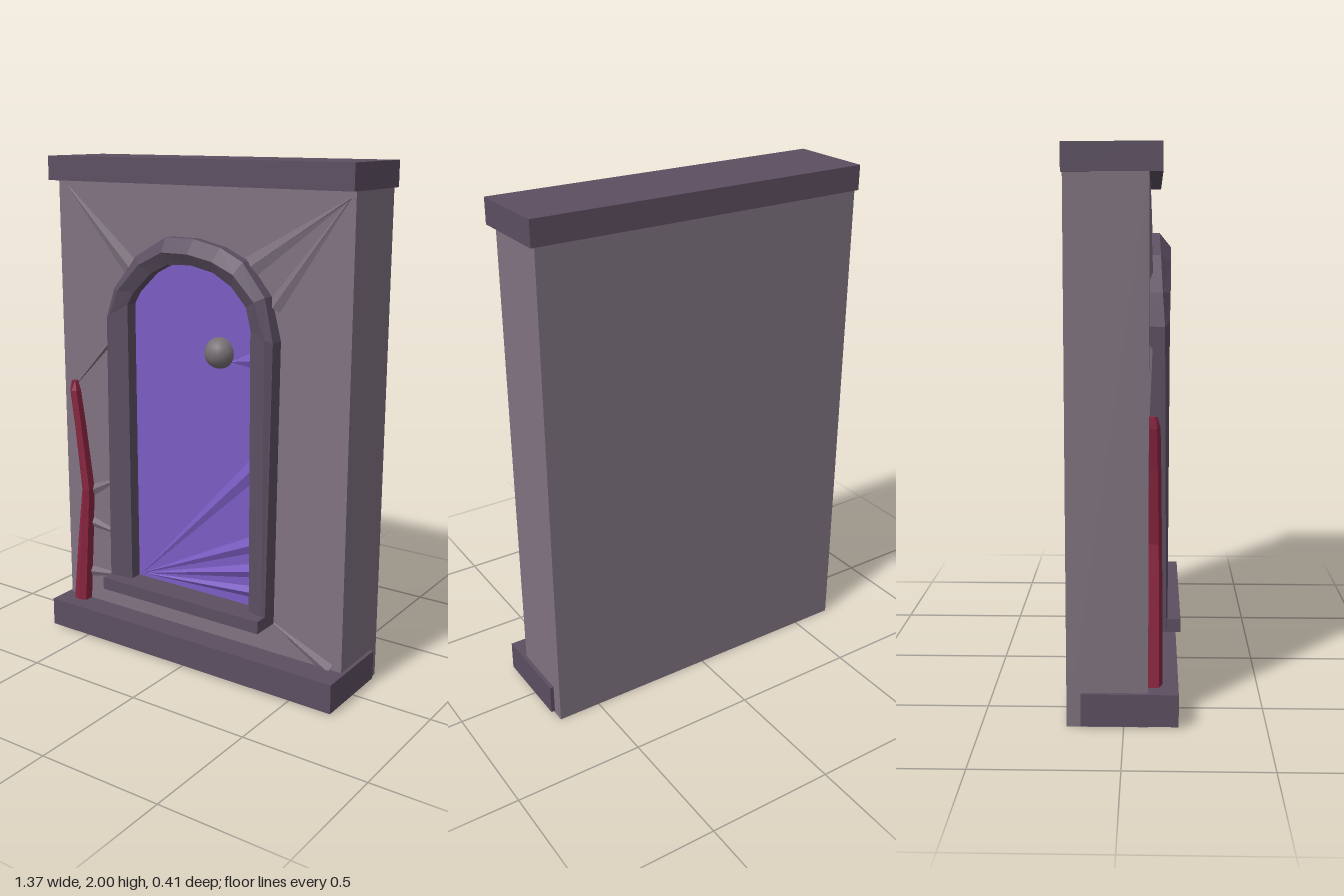
import * as THREE from 'three';

const stone = new THREE.MeshStandardMaterial({ color: 0x7f727f });
const trim = new THREE.MeshStandardMaterial({ color: 0x5c4f61 });
const violet = new THREE.MeshStandardMaterial({ color: 0x7b5cc2 });
const red = new THREE.MeshStandardMaterial({ color: 0x8a2540 });
const metal = new THREE.MeshStandardMaterial({ color: 0x777075 });
stone.name = 'wallStone';
trim.name = 'darkTrim';
violet.name = 'violetDoor';
red.name = 'redStick';
metal.name = 'greyKnob';

// Faceted solid through matching cross-sections, closed at both ends
function loft(rings) {
  const pos = [];
  const tri = (a, b, c) => pos.push(...a, ...b, ...c);
  const n = rings[0].length;
  for (let i = 0; i < rings.length - 1; i++) {
    for (let j = 0; j < n; j++) {
      const k = (j + 1) % n;
      const [a, b, c, d] = [rings[i][j], rings[i][k], rings[i + 1][k], rings[i + 1][j]];
      tri(a, b, c);
      tri(a, c, d);
    }
  }
  const first = rings[0], last = rings[rings.length - 1];
  for (let j = 1; j < n - 1; j++) {
    tri(first[0], first[j + 1], first[j]);
    tri(last[0], last[j], last[j + 1]);
  }
  const g = new THREE.BufferGeometry();
  g.setAttribute('position', new THREE.Float32BufferAttribute(pos, 3));
  g.computeVertexNormals();
  return g;
}

// Shallow fold that widens from one point to another on a front surface
function fold([x0, y0], [x1, y1], width, height, z) {
  const len = Math.hypot(x1 - x0, y1 - y0);
  const px = -(y1 - y0) / len, py = (x1 - x0) / len;
  const ring = (x, y, w, h) => [
    [x + px * w, y + py * w, z], [x, y, z + h], [x - px * w, y - py * w, z],
  ];
  return loft([ring(x0, y0, 0.002, 0.002), ring(x1, y1, width / 2, height)]);
}

export function createModel() {
  const model = new THREE.Group();
  model.name = 'archedDoorway';

  const add = (name, geometry, material) => {
    const mesh = new THREE.Mesh(geometry, material);
    mesh.name = name;
    model.add(mesh);
    return mesh;
  };
  // Box given by its limits on each axis
  const box = (name, material, [x0, x1], [y0, y1], [z0, z1]) => {
    const mesh = add(name, new THREE.BoxGeometry(x1 - x0, y1 - y0, z1 - z0), material);
    mesh.position.set((x0 + x1) / 2, (y0 + y1) / 2, (z0 + z1) / 2);
  };

  // Wall slab with its top and bottom mouldings
  box('wall', stone, [-0.67, 0.67], [0, 1.92], [-0.2, 0.085]);
  box('topMoulding', trim, [-0.685, 0.685], [1.905, 2], [-0.205, 0.13]);
  box('baseMoulding', trim, [-0.685, 0.685], [0.008, 0.125], [-0.15, 0.192]);

  // Frame stations: outer x, y, inner x, y
  const stations = [
    [-0.39, 0.26, -0.285, 0.26],
    [-0.39, 1.38, -0.285, 1.44],
    [-0.355, 1.5, -0.255, 1.49],
    [-0.25, 1.63, -0.17, 1.57],
    [-0.11, 1.71, -0.09, 1.61],
    [0.02, 1.71, 0.02, 1.615],
    [0.14, 1.685, 0.12, 1.595],
    [0.24, 1.64, 0.2, 1.55],
    [0.34, 1.52, 0.265, 1.48],
    [0.382, 1.36, 0.285, 1.4],
    [0.37, 0.26, 0.29, 0.26],
  ];
  const last = stations.length - 1;
  const frameRings = stations.map(([ox, oy, ix, iy], i) => {
    const arch = Math.sin((Math.PI * i) / last);
    const t = 0.15 + 0.4 * arch;
    return [
      [ox, oy, 0.07],
      [ox, oy, 0.15 - 0.03 * arch],
      [ox + (ix - ox) * t, oy + (iy - oy) * t, 0.155 + 0.01 * arch],
      [ix, iy, 0.14],
      [ix, iy, 0.07],
    ];
  });
  add('archFrame', loft(frameRings), trim);

  // Sill
  box('sill', trim, [-0.388, 0.37], [0.248, 0.298], [0.07, 0.203]);

  // Door panel filling the arch
  const outline = stations.map(([, , ix, iy]) => new THREE.Vector2(ix, iy));
  const panel = new THREE.ExtrudeGeometry(new THREE.Shape(outline.reverse()), {
    depth: 0.008, bevelEnabled: false,
  });
  panel.translate(0, 0, 0.083);
  add('door', panel, violet);

  // Folds fanning from the lower corner of the door, and one by the knob
  for (const [y, w] of [[0.36, 0.05], [0.45, 0.06], [0.56, 0.07], [0.87, 0.08]]) {
    add('doorFold', fold([-0.27, 0.31], [0.288, y], w, 0.016, 0.09), violet);
  }
  add('doorFold', fold([0.17, 1.26], [0.288, 1.28], 0.08, 0.016, 0.09), violet);

  // Folds in the wall around the frame
  const wallFolds = [
    [[0.65, 1.88], [0.25, 1.62], 0.08],
    [[0.65, 1.88], [0.35, 1.48], 0.06],
    [[-0.62, 1.88], [-0.3, 1.57], 0.08],
    [[0.37, 0.25], [0.62, 0.12], 0.06],
    [[-0.61, 1.07], [-0.38, 1.31], 0.02],
    [[-0.38, 0.7], [-0.54, 0.62], 0.05],
    [[-0.38, 0.45], [-0.55, 0.48], 0.05],
    [[-0.38, 0.27], [-0.56, 0.25], 0.05],
  ];
  for (const [from, to, w] of wallFolds) {
    add('wallFold', fold(from, to, w, 0.012, 0.085), stone);
  }

  // Knob
  const knob = add('knob', new THREE.SphereGeometry(0.06, 16, 12), metal);
  knob.position.set(0.122, 1.29, 0.095);

  // Bent red stick: centre x, y, half width, front z
  const stick = [
    [-0.59, 0.12, 0.032, 0.135],
    [-0.565, 0.4, 0.026, 0.135],
    [-0.545, 0.63, 0.019, 0.132],
    [-0.58, 0.9, 0.017, 0.128],
    [-0.604, 1.05, 0.017, 0.125],
    [-0.61, 1.09, 0.009, 0.115],
  ].map(([x, y, w, z]) => [
    [x - w, y, 0.08], [x - w, y, z - 0.012], [x, y, z], [x + w, y, z - 0.012], [x + w, y, 0.08],
  ]);
  add('stick', loft(stick), red);

  return model;
}
